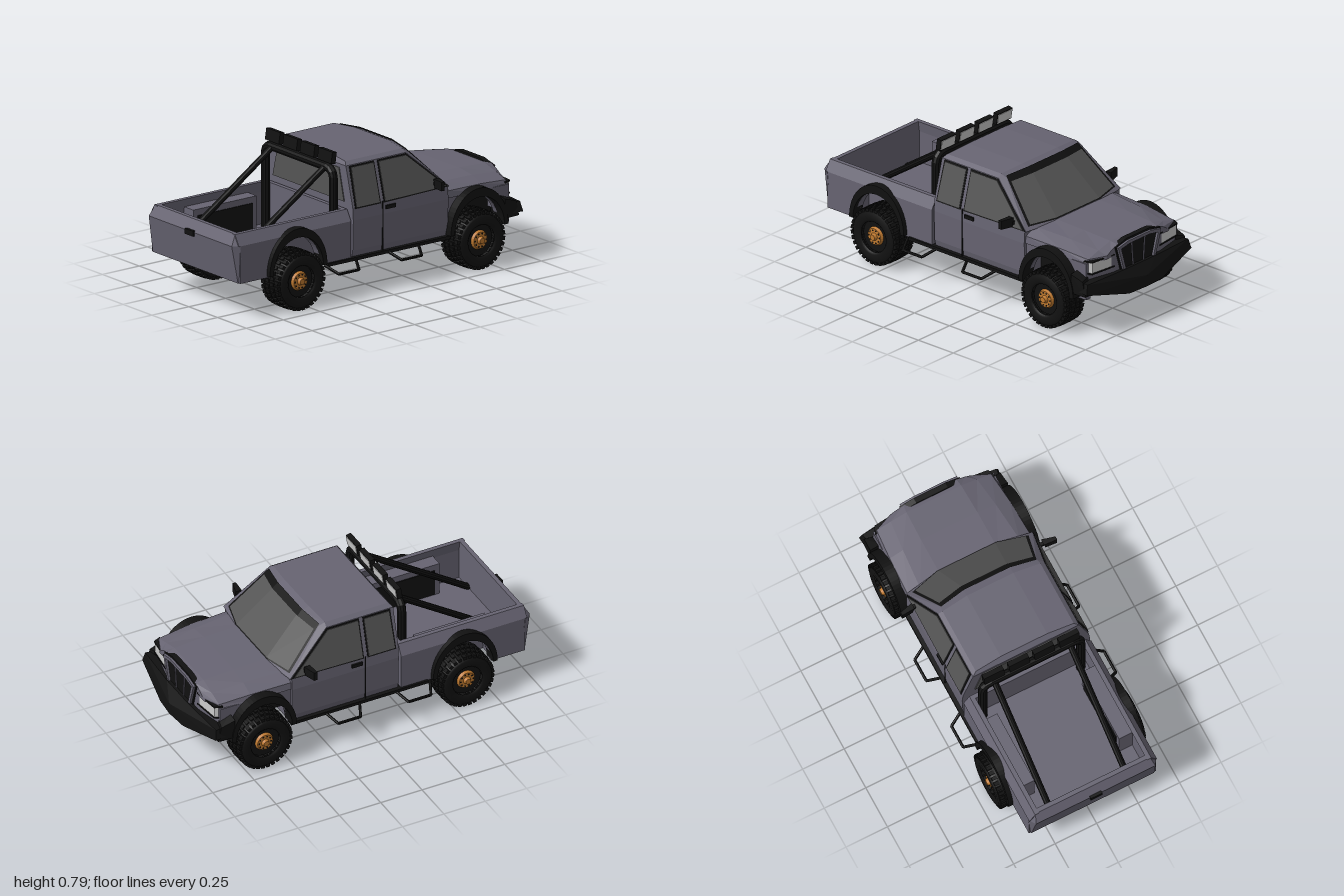
import * as THREE from 'three';
import { mergeGeometries } from 'three/addons/utils/BufferGeometryUtils.js';
import { ConvexGeometry } from 'three/addons/geometries/ConvexGeometry.js';

const mat = (color, flatShading = true) => new THREE.MeshStandardMaterial({ color, flatShading, side: THREE.DoubleSide });
const paint = mat(0x676472), black = mat(0x111111), glass = mat(0x555555), lens = mat(0xcccccc), bronze = mat(0xc07a30);
const V = (x, y, z) => new THREE.Vector3(x, y, z);

// box given by its limits
const box = (x0, x1, y0, y1, z0, z1) =>
  new THREE.BoxGeometry(x1 - x0, y1 - y0, z1 - z0).translate((x0 + x1) / 2, (y0 + y1) / 2, (z0 + z1) / 2);

// convex solid from points; symmetric adds the mirrored points
const hull = (pts, symmetric = true) => new ConvexGeometry(
  pts.flatMap(([x, y, z]) => symmetric && z ? [V(x, y, z), V(x, y, -z)] : [V(x, y, z)]));

// straight bar between two points
function rod(a, b, r, n = 10) {
  const p = V(...a), d = V(...b).sub(p);
  const q = new THREE.Quaternion().setFromUnitVectors(V(0, 1, 0), d.clone().normalize());
  return new THREE.CylinderGeometry(r, r, d.length(), n).applyQuaternion(q).translate(...p.addScaledVector(d, 0.5).toArray());
}

// outline in x, y extruded from z0 to z1
const slab = (shape, z0, z1) =>
  new THREE.ExtrudeGeometry(shape, { depth: z1 - z0, bevelEnabled: false, curveSegments: 14 }).translate(0, 0, z0);
const outline = pts => new THREE.Shape(pts.map(p => new THREE.Vector2(...p)));

// skin through rows of points, optionally closed into a capped solid
function loft(rows, closed) {
  const n = rows[0].length, pos = rows.flat().flatMap(p => p.toArray()), idx = [];
  for (let i = 0; i < rows.length - 1; i++)
    for (let j = 0; j < (closed ? n : n - 1); j++) {
      const a = i * n + j, b = i * n + (j + 1) % n;
      idx.push(a, a + n, b, b, a + n, b + n);
    }
  const last = (rows.length - 1) * n;
  if (closed) for (let j = 1; j < n - 1; j++) idx.push(0, j, j + 1, last, last + j + 1, last + j);
  const g = new THREE.BufferGeometry();
  g.setAttribute('position', new THREE.Float32BufferAttribute(pos, 3));
  g.setIndex(idx);
  g.computeVertexNormals();
  return g;
}

// mirror a geometry across z, keeping its faces outward
function mirror(g) {
  const m = g.index ? g.toNonIndexed() : g.clone();
  m.scale(1, 1, -1);
  for (const a of Object.values(m.attributes))
    for (let i = 0; i < a.count; i += 3)
      for (let k = 0; k < a.itemSize; k++) {
        const t = a.getComponent(i + 1, k);
        a.setComponent(i + 1, k, a.getComponent(i + 2, k));
        a.setComponent(i + 2, k, t);
      }
  return m;
}

// wheel with its outer face toward +z, centred on its axle
function makeWheel() {
  const w = new THREE.Group();
  const put = (name, g, m) => { const o = new THREE.Mesh(g, m); o.name = name; w.add(o); };
  const prof = [[0.088, -0.07], [0.1, -0.08], [0.135, -0.08], [0.152, -0.066], [0.158, -0.03], [0.158, 0.03],
    [0.152, 0.066], [0.135, 0.08], [0.1, 0.08], [0.088, 0.07]].map(p => new THREE.Vector2(...p));
  put('tyre', new THREE.LatheGeometry(prof, 40).rotateX(Math.PI / 2), mat(0x111111, false));
  const knobs = [];
  for (let i = 0; i < 32; i++)
    [-0.058, -0.02, 0.02, 0.058].forEach((z, k) => knobs.push(
      new THREE.BoxGeometry(0.02, 0.018, 0.029).translate(0, Math.abs(z) > 0.04 ? 0.153 : 0.156, z)
        .rotateZ((i + (k % 2) / 2) * Math.PI / 16)));
  put('treadBlocks', mergeGeometries(knobs), black);
  const turned = (r0, r1, h, z, n = 24) => new THREE.CylinderGeometry(r0, r1, h, n).rotateX(Math.PI / 2).translate(0, 0, z);
  put('rim', turned(0.09, 0.09, 0.1, 0), black);
  put('hub', turned(0.046, 0.054, 0.016, 0.057), bronze);
  put('hubCap', turned(0.016, 0.023, 0.02, 0.072), bronze);
  const holes = [];
  for (let i = 0; i < 10; i++) holes.push(turned(0.005, 0.005, 0.004, 0.065, 8).translate(0.037, 0, 0).rotateZ(i * Math.PI / 5));
  put('hubHoles', mergeGeometries(holes), black);
  return w;
}

export function createModel() {
  const truck = new THREE.Group();
  truck.name = 'pickupTruck';
  const add = (name, g, m) => { const o = new THREE.Mesh(g, m); o.name = name; truck.add(o); return o; };
  const pair = (name, g, m) => { add(name + 'Left', g, m); add(name + 'Right', mirror(g), m); };
  const FRONT = 0.645, REAR = -0.575;

  // side panel with a half-elliptic wheel opening
  const archPanel = (x0, x1, cx, z0, z1) => {
    const s = new THREE.Shape();
    s.moveTo(x0, 0.42); s.lineTo(x0, 0.21); s.lineTo(cx - 0.17, 0.21);
    s.absellipse(cx, 0.21, 0.17, 0.195, Math.PI, 0, true);
    s.lineTo(x1, 0.21); s.lineTo(x1, 0.42);
    return slab(s, z0, z1);
  };

  // cargo bed
  pair('bedSide', archPanel(-0.95, -0.2, REAR, 0.335, 0.383), paint);
  pair('bedRail', hull([-0.96, -0.2].flatMap(x => [[x, 0.42, 0.385], [x, 0.48, 0.35], [x, 0.48, 0.325], [x, 0.42, 0.335]]), false), paint);
  add('tailgate', hull([[-0.955, 0.21, 0.37], [-0.93, 0.21, 0.38], [-0.99, 0.42, 0.36], [-0.95, 0.42, 0.385],
    [-0.955, 0.48, 0.345], [-0.93, 0.48, 0.35]]), paint);
  add('tailgateHandle', box(-1, -0.98, 0.4, 0.43, -0.035, 0.035), black);
  add('bedFloor', box(-0.94, -0.2, 0.21, 0.24, -0.26, 0.26), paint);
  add('bedFrontWall', box(-0.225, -0.2, 0.21, 0.48, -0.34, 0.34), paint);
  pair('bedFloorRearEdge', box(-0.94, -0.76, 0.21, 0.24, 0.26, 0.34), paint);
  pair('bedFloorFrontEdge', box(-0.36, -0.2, 0.21, 0.24, 0.26, 0.34), paint);
  pair('wheelTub', mergeGeometries([box(-0.77, -0.34, 0.42, 0.435, 0.255, 0.335), box(-0.77, -0.755, 0.24, 0.42, 0.255, 0.335),
    box(-0.355, -0.34, 0.24, 0.42, 0.255, 0.335), box(-0.77, -0.34, 0.24, 0.42, 0.255, 0.265)]), paint);
  pair('wheelTubPanel', box(-0.74, -0.37, 0.245, 0.4, 0.25, 0.256), black);

  // cab
  add('cabLower', hull([-0.185, 0.46].flatMap(x => [[x, 0.2, 0.368], [x, 0.25, 0.38], [x, 0.42, 0.385], [x, 0.49, 0.38]])), paint);
  const top = [V(0.25, 0.712, 0.29), V(0.275, 0.722, 0.14), V(0.275, 0.722, -0.14), V(0.25, 0.712, -0.29)];
  const base = [V(0.455, 0.505, 0.35), V(0.5, 0.505, 0.18), V(0.5, 0.505, -0.18), V(0.455, 0.505, -0.35)];
  add('cabUpper', hull([[-0.185, 0.49, 0.38], [0.47, 0.49, 0.38], [0.505, 0.49, 0.18], [-0.185, 0.71, 0.32], [0.22, 0.71, 0.32],
    [-0.17, 0.728, 0.295], [0.215, 0.728, 0.295], [-0.16, 0.74, 0.14], [0.23, 0.74, 0.14],
    ...[...top, ...base].map(p => p.toArray())]), paint);
  const screen = (t0, t1, wide, off) => loft([t0, t1].map(t => top.map((p, i) => {
    const q = p.clone().lerp(base[i], t);
    return V(q.x + off * 0.7, q.y + off * 0.7, q.z * wide);
  })));
  add('windscreenFrame', screen(-0.04, 1, 1, 0.004), black);
  add('windscreen', screen(0.1, 0.98, 0.955, 0.008), glass);
  add('rearWindow', hull([-0.185, -0.19].flatMap(x => [[x, 0.51, 0.31], [x, 0.69, 0.265]])), glass);

  // side windows lean in with the cab wall
  const leaning = (pts, d) => {
    const g = slab(outline(pts), 0, d), p = g.attributes.position;
    for (let i = 0; i < p.count; i++) p.setZ(i, p.getZ(i) + 0.38 - (p.getY(i) - 0.49) * 0.06 / 0.22);
    g.computeVertexNormals();
    return g;
  };
  pair('rearDoorWindowFrame', leaning([[-0.17, 0.482], [0.003, 0.482], [0.003, 0.706], [-0.165, 0.706]], 0.003), black);
  pair('rearDoorWindow', leaning([[-0.162, 0.49], [-0.005, 0.49], [-0.005, 0.698], [-0.155, 0.698]], 0.006), glass);
  pair('frontDoorWindowFrame', leaning([[0.024, 0.482], [0.465, 0.49], [0.22, 0.706], [0.024, 0.706]], 0.003), black);
  pair('frontDoorWindow', leaning([[0.032, 0.49], [0.444, 0.496], [0.215, 0.698], [0.032, 0.698]], 0.006), glass);
  pair('doorSeam', box(0.013, 0.018, 0.215, 0.49, 0.375, 0.387), black);
  pair('doorHandle', box(0.035, 0.1, 0.445, 0.465, 0.375, 0.392), black);
  pair('rocker', box(-0.36, 0.47, 0.198, 0.216, 0.35, 0.395), black);
  pair('mirrorArm', box(0.365, 0.385, 0.51, 0.53, 0.36, 0.41), black);
  pair('mirror', hull([[0.355, 0.503, 0.4], [0.355, 0.553, 0.39], [0.39, 0.503, 0.4], [0.39, 0.553, 0.39],
    [0.35, 0.503, 0.467], [0.35, 0.553, 0.467], [0.37, 0.503, 0.467], [0.37, 0.553, 0.467]], false), black);

  // hood, fenders and nose
  const hood = [
    [0.46, [[0.375, 0.42], [0.37, 0.46], [0.3, 0.495], [0.17, 0.505]]],
    [0.7, [[0.37, 0.42], [0.36, 0.455], [0.28, 0.485], [0.17, 0.5]]],
    [0.88, [[0.355, 0.42], [0.345, 0.44], [0.26, 0.465], [0.165, 0.49]]],
    [0.925, [[0.25, 0.42], [0.24, 0.44], [0.21, 0.46], [0.16, 0.48]]]];
  add('hood', loft(hood.map(([x, s]) => [...s.map(([z, y]) => V(x, y, z)), ...[...s].reverse().map(([z, y]) => V(x, y, -z))]), true), paint);
  pair('frontFender', archPanel(0.46, 0.885, FRONT, 0.33, 0.365), paint);
  add('nose', hull([0.28, 0.425].flatMap(y => [[0.925, y, 0.19], [0.885, y, 0.352], [0.83, y, 0.352]])), paint);
  add('engineBay', box(0.46, 0.85, 0.23, 0.42, -0.25, 0.25), black);
  const lamp = (y0, y1, o) => hull([y0, y1].flatMap(y => [[0.92 + o, y, 0.19 - o], [0.902 + o, y, 0.335 + o],
    [0.865, y, 0.354 + o], [0.86, y, 0.19 - o]]), false);
  pair('headlight', lamp(0.365, 0.425, 0.004), lens);
  pair('headlightTrim', mergeGeometries([lamp(0.357, 0.365, 0.008), lamp(0.425, 0.433, 0.008)]), black);

  // grille, drawn facing z and turned toward the nose
  const turn = g => g.rotateY(Math.PI / 2);
  const frame = outline([[-0.12, 0.3], [0.12, 0.3], [0.172, 0.468], [0.09, 0.485], [-0.09, 0.485], [-0.172, 0.468]]);
  frame.holes.push(outline([[-0.105, 0.312], [0.105, 0.312], [0.147, 0.455], [0.08, 0.467], [-0.08, 0.467], [-0.147, 0.455]]));
  add('grilleFrame', turn(slab(frame, 0.915, 0.945)), paint);
  add('grille', turn(slab(outline([[-0.13, 0.295], [0.13, 0.295], [0.182, 0.472], [0.095, 0.496], [-0.095, 0.496], [-0.182, 0.472]]), 0.9, 0.932)), black);
  pair('grilleBar', rod([0.934, 0.312, 0.04], [0.934, 0.467, 0.053], 0.005, 6), paint);

  // bumper
  add('bumper', hull([[0.85, 0.325, 0.39], [0.85, 0.27, 0.41], [0.93, 0.325, 0.405], [0.94, 0.27, 0.42], [0.88, 0.2, 0.13],
    [0.95, 0.33, 0.12], [1, 0.27, 0], [1, 0.205, 0], [0.985, 0.2, 0.13]]), black);

  // wheel arch flares, wheels and axles
  for (const [end, x, z] of [['front', FRONT, 0.42], ['rear', REAR, 0.41]]) {
    const arch = new THREE.Shape();
    arch.absellipse(x, 0.22, 0.195, 0.235, Math.PI, 0, true);
    arch.absellipse(x, 0.22, 0.168, 0.185, 0, Math.PI, false);
    pair(end + 'Flare', slab(arch, 0.335, z), black);
    for (const side of [1, -1]) {
      const w = makeWheel();
      w.name = end + (side > 0 ? 'WheelLeft' : 'WheelRight');
      w.position.set(x, 0.165, side * 0.362);
      if (side < 0) w.rotation.y = Math.PI;
      truck.add(w);
    }
    add(end + 'Axle', rod([x, 0.168, -0.3], [x, 0.168, 0.3], 0.017), black);
    const bulge = [[0.015, -0.09], [0.033, -0.015], [0.033, 0.015], [0.015, 0.09]].map(p => new THREE.Vector2(...p));
    add(end + 'Differential', new THREE.LatheGeometry(bulge, 10).rotateX(Math.PI / 2).translate(x, 0.168, 0), black);
  }
  pair('frontFlareTip', hull([[0.82, 0.25, 0.35], [0.82, 0.37, 0.35], [0.82, 0.25, 0.415], [0.82, 0.36, 0.415],
    [0.92, 0.25, 0.35], [0.885, 0.345, 0.35], [0.92, 0.25, 0.41], [0.9, 0.335, 0.41]], false), black);

  // side steps
  for (const [name, x] of [['rearStep', -0.375], ['frontStep', 0.05]]) {
    const p = [[x, 0.205, 0.38], [x + 0.035, 0.168, 0.46], [x + 0.17, 0.168, 0.46], [x + 0.21, 0.205, 0.38]];
    pair(name, mergeGeometries([0, 1, 2].map(i => rod(p[i], p[i + 1], 0.008, 8))), black);
  }

  // roll bar with braces and lamps
  const path = new THREE.CurvePath(), hoop = [[0.24, 0.295], [0.64, 0.295], [0.7, 0.24], [0.7, -0.24], [0.64, -0.295], [0.24, -0.295]]
    .map(([y, z]) => V(-0.25, y, z));
  for (let i = 0; i < 5; i++)
    path.add(i % 2 ? new THREE.QuadraticBezierCurve3(hoop[i], V(-0.25, 0.7, Math.sign(hoop[i].z + hoop[i + 1].z) * 0.295), hoop[i + 1])
      : new THREE.LineCurve3(hoop[i], hoop[i + 1]));
  add('rollBar', new THREE.TubeGeometry(path, 60, 0.025, 10), black);
  pair('rollBarBrace', rod([-0.245, 0.705, 0.228], [-0.94, 0.24, 0.228], 0.018), black);
  for (const z of [-0.227, -0.075, 0.075, 0.227]) {
    const tilt = (name, g, m) => { const o = add(name, g.rotateZ(-0.15), m); o.position.set(-0.24, 0.757, z); };
    tilt('roofLamp', new THREE.BoxGeometry(0.03, 0.064, 0.12), black);
    tilt('roofLampLens', box(0.014, 0.018, -0.027, 0.027, -0.055, 0.055), lens);
  }
  return truck;
}
